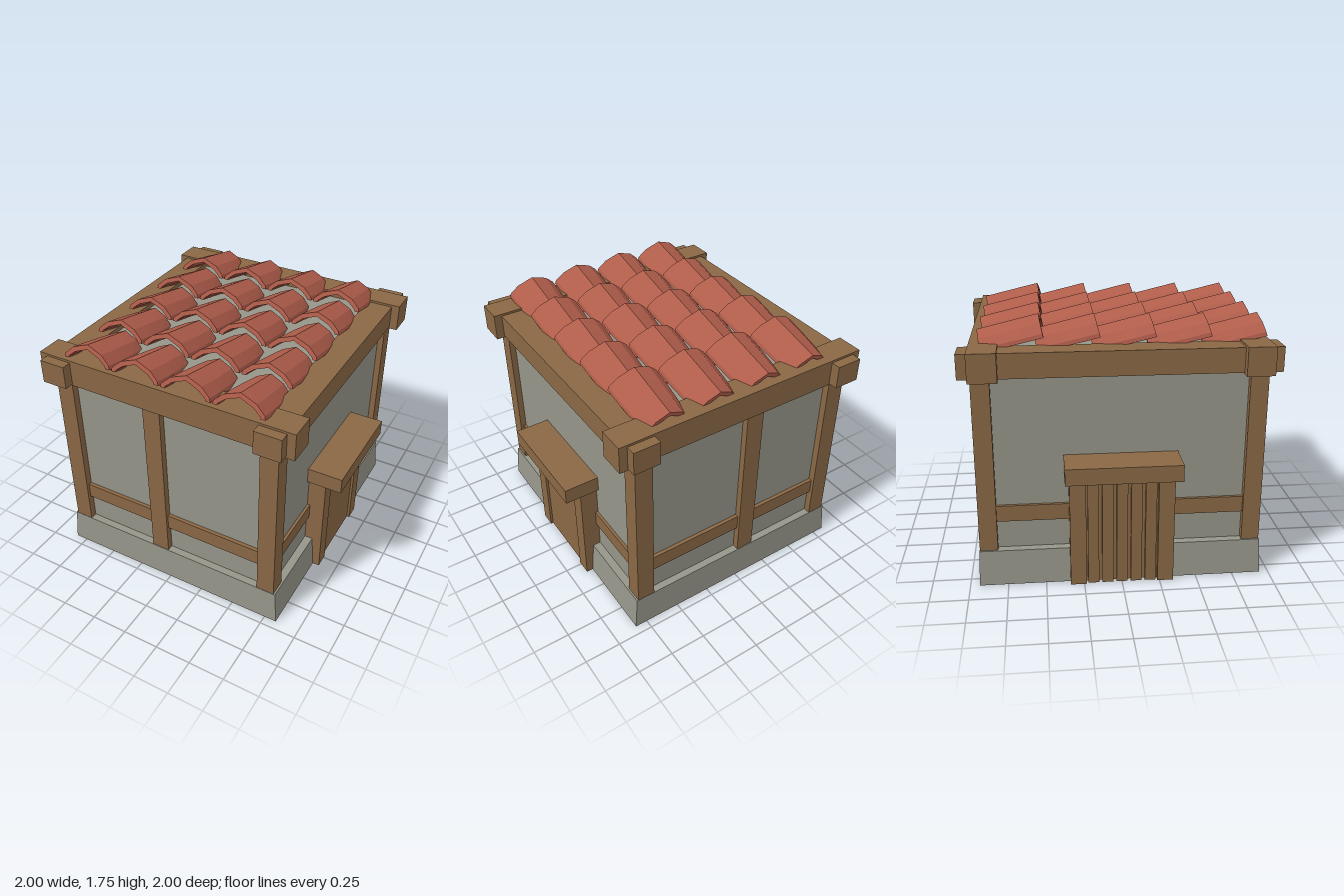
import * as THREE from 'three';

export function createModel() {
  const model = new THREE.Group();
  model.name = 'tiledHut';
  const mat = (name, color) => {
    const m = new THREE.MeshStandardMaterial({ color });
    m.name = name;
    return m;
  };
  const wood = mat('wood', 0x8a6845);
  const stone = mat('stone', 0x95958a);
  const clay = mat('clay', 0xb05d4b);

  const add = (name, geo, material) => {
    const mesh = new THREE.Mesh(geo, material);
    mesh.name = name;
    model.add(mesh);
    return mesh;
  };
  // box given by its lower and upper bounds on each axis
  const box = (name, x0, x1, y0, y1, z0, z1, material = wood) => {
    const geo = new THREE.BoxGeometry(x1 - x0, y1 - y0, z1 - z0);
    geo.translate((x0 + x1) / 2, (y0 + y1) / 2, (z0 + z1) / 2);
    return add(name, geo, material);
  };

  // plinth, slightly narrower at the top
  const plinth = box('plinth', -0.835, 0.835, 0, 0.24, -0.94, 0.94, stone);
  const pp = plinth.geometry.attributes.position;
  for (let i = 0; i < pp.count; i++) {
    if (pp.getY(i) > 0.1) {
      pp.setX(i, Math.sign(pp.getX(i)) * 0.815);
      pp.setZ(i, Math.sign(pp.getZ(i)) * 0.93);
    }
  }
  plinth.geometry.computeVertexNormals();

  // wall core
  box('walls', -0.76, 0.76, 0.2, 1.55, -0.88, 0.88, stone);

  // timber frame
  for (const s of [-1, 1]) {
    const span = (a, b) => (s > 0 ? [a, b] : [-b, -a]);
    for (const t of [-1, 1]) {
      const z = t > 0 ? [0.81, 0.928] : [-0.928, -0.81];
      box('cornerPost', ...span(0.68, 0.803), 0.23, 1.45, ...z);
    }
    box('middlePost', -0.14, -0.015, 0.23, 1.45, ...span(0.8, 0.925));
    box('endRail', -0.7, 0.7, 0.435, 0.545, ...span(0.82, 0.905));
    box('sideRail', ...span(0.7, 0.78), 0.435, 0.545, -0.83, 0.83);
    box('endBeam', -0.905, 0.905, 1.41, 1.595, ...span(0.755, 0.935));
    box('sideBeam', ...span(0.67, 0.85), 1.42, 1.58, -1, 1);

    // side hatch: cap, two jambs and a panel
    box('hatchCap', ...span(0.75, 1), 0.77, 0.88, -0.37, 0.37);
    box('hatchJamb', ...span(0.75, 0.882), 0.002, 0.78, 0.235, 0.34);
    box('hatchJamb', ...span(0.75, 0.882), 0.002, 0.78, -0.34, -0.235);
    if (s > 0) box('hatchPanel', 0.75, 0.865, 0.004, 0.78, -0.24, 0.24);
  }
  // separate upright planks on the right hatch
  box('hatchBacking', -0.845, -0.75, 0.004, 0.78, -0.24, 0.24);
  for (let i = 0; i < 5; i++) {
    const z = (i - 2) * 0.094;
    box('hatchPlank', -0.87, -0.75, 0.002, 0.78, z - 0.036, z + 0.036);
  }

  // arched roof tile, tapering to the rear and raised at the front
  const outer = [[-0.172, 0], [-0.166, 0.026], [-0.107, 0.08], [0, 0.12]];
  const inner = [[-0.142, 0], [-0.136, 0.014], [-0.09, 0.052], [0, 0.088]];
  const arch = (half) => [...half, ...half.slice(0, -1).reverse().map(([x, y]) => [-x, y])];
  const outline = [...arch(outer), ...arch(inner).reverse()];
  const length = 0.397;
  const tile = new THREE.ExtrudeGeometry(
    new THREE.Shape(outline.map(([x, y]) => new THREE.Vector2(x, y))),
    { depth: length, steps: 3, bevelEnabled: false }
  );
  const tp = tile.attributes.position;
  for (let i = 0; i < tp.count; i++) {
    const back = 1 - tp.getZ(i) / length;
    tp.setX(i, tp.getX(i) * (1 - 0.16 * back * back));
  }
  tile.rotateX(-0.235);
  tile.computeVertexNormals();

  for (let row = 0; row < 5; row++) {
    for (let col = 0; col < 4; col++) {
      const mesh = add('roofTile', tile, clay);
      mesh.position.set(-0.539 + col * 0.358, 1.521 + row * 0.005, 0.537 - row * 0.349);
    }
  }
  return model;
}
